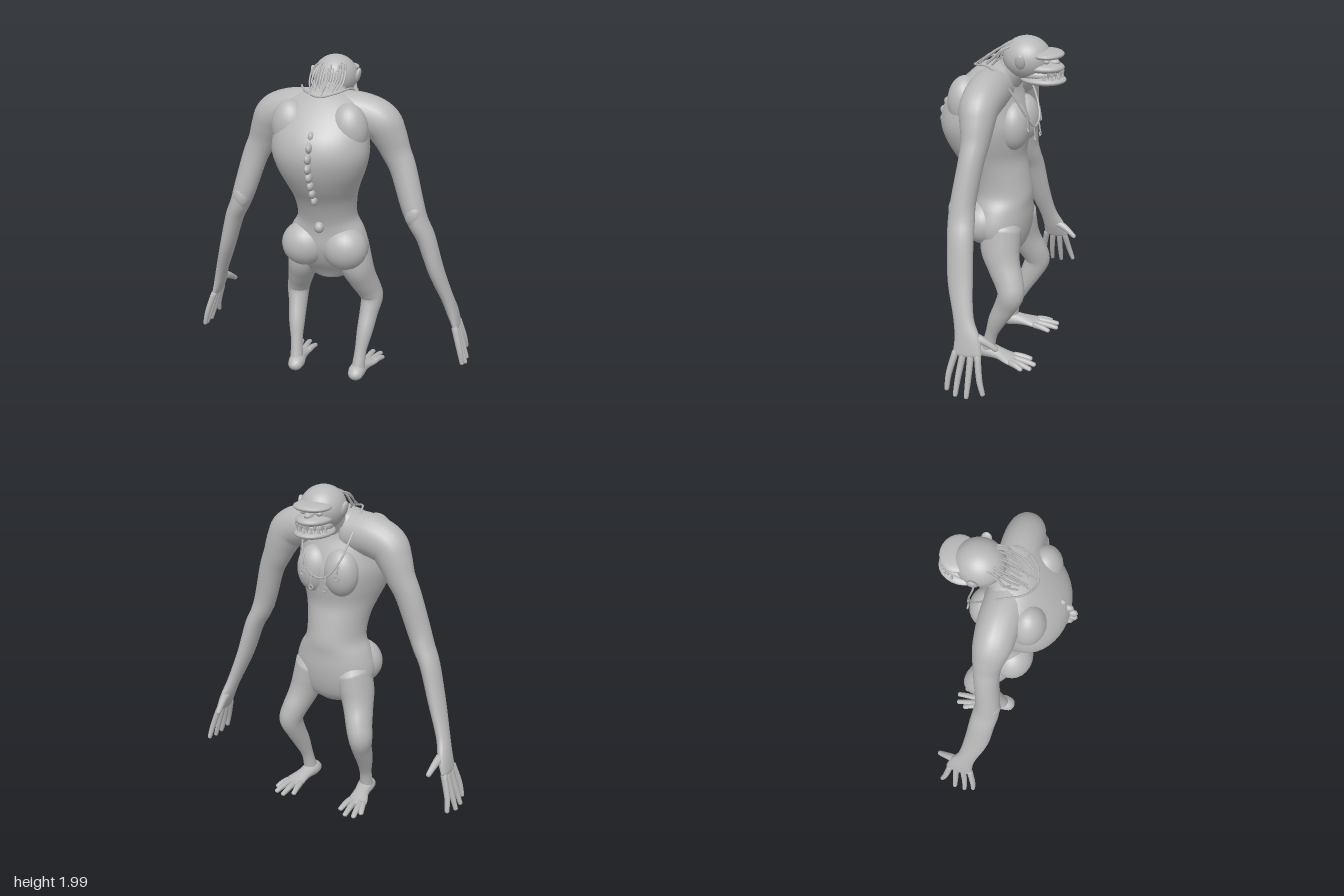
import * as THREE from 'three';

const skin = new THREE.MeshStandardMaterial({ color: 0xb8b8b8 });
skin.name = 'greySkin';

// Catmull-Rom through rows of numbers, `n` steps per span
function smoothRows(rows, n) {
  const out = [], at = i => rows[Math.min(Math.max(i, 0), rows.length - 1)];
  for (let i = 0; i < rows.length - 1; i++) {
    for (let k = 0; k < n; k++) {
      const t = k / n;
      out.push(rows[i].map((b, j) => {
        const a = at(i - 1)[j], c = at(i + 1)[j], d = at(i + 2)[j];
        return 0.5 * (2 * b + (c - a) * t + (2 * a - 5 * b + 4 * c - d) * t * t + (3 * b - a - 3 * c + d) * t ** 3);
      }));
    }
  }
  out.push(rows[rows.length - 1]);
  return out;
}

// Joins cross-sections into one closed smooth surface
function loft(rings) {
  const seg = rings[0].length, pos = [], idx = [];
  rings.forEach(r => r.forEach(p => pos.push(p.x, p.y, p.z)));
  for (let i = 0; i < rings.length - 1; i++) {
    for (let j = 0; j < seg; j++) {
      const a = i * seg + j, b = i * seg + (j + 1) % seg;
      idx.push(a, b, b + seg, a, b + seg, a + seg);
    }
  }
  const last = (rings.length - 1) * seg;
  [[0, rings[0]], [last, rings[rings.length - 1]]].forEach(([start, ring], end) => {
    const c = ring.reduce((s, p) => s.add(p), new THREE.Vector3()).divideScalar(seg);
    const ci = pos.length / 3;
    pos.push(c.x, c.y, c.z);
    for (let j = 0; j < seg; j++) {
      const a = start + j, b = start + (j + 1) % seg;
      if (end) idx.push(ci, a, b); else idx.push(ci, b, a);
    }
  });
  const g = new THREE.BufferGeometry();
  g.setAttribute('position', new THREE.Float32BufferAttribute(pos, 3));
  g.setIndex(idx);
  g.computeVertexNormals();
  return g;
}

// Limb through rows [x, y, z, radius, radius along ref], with rounded ends
function limb(rows, ref = [0, 0, 1], seg = 16, steps = 5) {
  const path = smoothRows(rows, steps);
  const centre = path.map(r => new THREE.Vector3(r[0], r[1], r[2]));
  const dir = i => centre[Math.min(i + 1, centre.length - 1)].clone().sub(centre[Math.max(i - 1, 0)]).normalize();
  const ring = (i, push, scale) => {
    const T = dir(i), B = new THREE.Vector3(...ref);
    B.addScaledVector(T, -B.dot(T)).normalize();
    const N = B.clone().cross(T), [, , , ra, rb] = path[i];
    const c = centre[i].clone().addScaledVector(T, push * Math.min(ra, rb));
    return Array.from({ length: seg }, (_, j) => {
      const a = j / seg * Math.PI * 2;
      return c.clone().addScaledVector(N, ra * scale * Math.cos(a)).addScaledVector(B, rb * scale * Math.sin(a));
    });
  };
  const e = path.length - 1;
  return loft([ring(0, -0.7, 0.3), ring(0, -0.45, 0.75), ...path.map((_, i) => ring(i, 0, 1)),
    ring(e, 0.45, 0.75), ring(e, 0.7, 0.3)]);
}

export function createModel() {
  const root = new THREE.Group();
  root.name = 'hunchedCreature';
  const add = (name, geo) => {
    const m = new THREE.Mesh(geo, skin);
    m.name = name;
    root.add(m);
    return m;
  };
  const blob = (name, p, r, seg = 24) => {
    const m = add(name, new THREE.SphereGeometry(1, seg, Math.round(seg * 0.7)));
    m.position.set(...p);
    m.scale.set(...r);
    return m;
  };
  const cord = (name, pts, r, closed = false) => add(name, new THREE.TubeGeometry(
    new THREE.CatmullRomCurve3(pts.map(p => new THREE.Vector3(...p)), closed), closed ? 80 : 10, r, 5, closed));

  // Torso rows: height, half width, back z, front z, z of the widest point
  const torso = [
    [0.67, 0.08, 0.0, -0.1, -0.05], [0.72, 0.18, 0.03, -0.15, -0.05], [0.8, 0.232, 0.09, -0.18, -0.04],
    [0.9, 0.25, 0.13, -0.195, -0.02], [1.0, 0.22, 0.135, -0.195, -0.02], [1.08, 0.178, 0.15, -0.198, -0.01],
    [1.2, 0.185, 0.2, -0.175, 0.02], [1.3, 0.215, 0.265, -0.155, 0.07], [1.4, 0.255, 0.315, -0.17, 0.11],
    [1.5, 0.28, 0.335, -0.18, 0.13], [1.6, 0.275, 0.31, -0.15, 0.12], [1.7, 0.26, 0.24, -0.11, 0.08],
    [1.78, 0.21, 0.165, -0.1, 0.04], [1.83, 0.11, 0.1, -0.08, 0.01], [1.845, 0.03, 0.03, -0.04, 0]];
  add('torso', loft(smoothRows(torso, 4).map(([y, w, zb, zf, zm]) => Array.from({ length: 40 }, (_, j) => {
    const a = j / 40 * Math.PI * 2, s = Math.sin(a);
    return new THREE.Vector3(-w * Math.cos(a), y, zm + s * (s > 0 ? zb - zm : zm - zf));
  }))));

  // Spine ridge
  for (let i = 0; i < 9; i++) {
    const y = 1.68 - i * 0.055;
    const z = 0.345 - 2.0 * Math.max(0, y - 1.5) ** 1.6 - 0.75 * Math.max(0, 1.46 - y) ** 1.25;
    blob('spineKnob', [0, y, z], [0.02, 0.03, 0.035], 8);
  }
  blob('lowerSpineKnob', [0, 1.05, 0.15], [0.03, 0.035, 0.035], 10);

  // Neck and head
  add('neck', limb([[0, 1.72, 0.0, 0.1, 0.1], [0, 1.79, -0.07, 0.09, 0.085], [0, 1.86, -0.14, 0.09, 0.085]]));
  blob('skull', [0, 1.88, -0.16], [0.127, 0.12, 0.135], 32);
  blob('brow', [0, 1.91, -0.275], [0.108, 0.026, 0.095]);
  blob('upperJaw', [0, 1.838, -0.25], [0.098, 0.034, 0.125]);
  blob('mouthInside', [0, 1.8, -0.22], [0.088, 0.045, 0.11]);
  blob('lowerJaw', [0, 1.768, -0.255], [0.108, 0.03, 0.132]);
  blob('nose', [0, 1.868, -0.31], [0.025, 0.02, 0.04], 12);
  for (let i = 0; i < 13; i++) {
    const a = (i / 12 - 0.5) * 2.5;
    const tooth = add('tooth', new THREE.ConeGeometry(0.009, 0.04, 6));
    tooth.position.set(0.092 * Math.sin(a), 1.802, -0.255 - 0.11 * Math.cos(a));
    if (i % 2) tooth.rotation.x = Math.PI;
  }

  // Hair strands swept from the crown down onto the back
  for (let i = 0; i < 14; i++) {
    const u = i / 13 * 2 - 1, w = Math.sin(i * 4.7);
    cord('hairStrand', [[u * 0.06, 1.985 - 0.02 * u * u, -0.14], [u * 0.095, 1.94 + 0.01 * w, -0.05],
      [u * 0.1 + 0.01 * w, 1.88 + 0.015 * w, 0.01 + 0.02 * w], [u * 0.08, 1.835, 0.06 + 0.04 * w]], 0.0055);
  }
  for (const x of [-0.06, 0.01]) cord('longStrand', [[x, 1.96, -0.09], [x, 1.9, 0.03], [x, 1.82, 0.14]], 0.004);

  // Necklace with pendants
  cord('necklace', [[0, 1.815, 0.145], [0.09, 1.835, 0.11], [0.15, 1.842, 0.0], [0.15, 1.72, -0.12],
    [0.12, 1.6, -0.185], [0.06, 1.51, -0.217], [0, 1.485, -0.215], [-0.06, 1.51, -0.217],
    [-0.12, 1.6, -0.185], [-0.15, 1.72, -0.12], [-0.15, 1.842, 0.0], [-0.09, 1.835, 0.11]], 0.006, true);
  for (const [x, y, z] of [[-0.11, 1.57, -0.2], [-0.045, 1.5, -0.22], [0.045, 1.5, -0.22], [0.11, 1.57, -0.2]]) {
    cord('pendantCord', [[x, y, z], [x, y - 0.03, z - 0.006], [x, y - 0.06, z - 0.01]], 0.005);
    const ring = add('pendantRing', new THREE.TorusGeometry(0.013, 0.004, 5, 12));
    ring.position.set(x, y - 0.073, z - 0.01);
  }

  // Paired parts, mirrored across x
  for (const s of [1, -1]) {
    const side = s > 0 ? 'left' : 'right';
    const limbAt = (name, rows, ref, seg, steps) =>
      add(side + name, limb(rows.map(([x, ...r]) => [s * x, ...r]), ref, seg, steps));

    blob(side + 'Ear', [s * 0.132, 1.885, -0.165], [0.016, 0.045, 0.03], 12).rotation.z = -s * 0.25;
    blob(side + 'Eye', [s * 0.048, 1.878, -0.288], [0.018, 0.014, 0.018], 12);
    blob(side + 'Breast', [s * 0.085, 1.5, -0.115], [0.105, 0.14, 0.09]);
    blob(side + 'Buttock', [s * 0.125, 0.9, 0.05], [0.138, 0.135, 0.122]);
    blob(side + 'ShoulderBlade', [s * 0.17, 1.64, 0.14], [0.11, 0.15, 0.1]);

    // Arm from the shoulder to the palm
    limbAt('Arm', [[0.08, 1.71, 0.01, 0.125, 0.12], [0.21, 1.705, 0.0, 0.12, 0.115], [0.315, 1.665, -0.002, 0.115, 0.108],
      [0.365, 1.59, -0.01, 0.1, 0.095], [0.405, 1.5, -0.015, 0.085, 0.078], [0.452, 1.4, -0.008, 0.076, 0.07],
      [0.515, 1.2, 0.012, 0.068, 0.07], [0.552, 1.1, 0.01, 0.06, 0.075], [0.6, 1.0, -0.003, 0.054, 0.074],
      [0.662, 0.8, -0.025, 0.046, 0.072], [0.73, 0.61, -0.07, 0.036, 0.058], [0.765, 0.5, -0.105, 0.032, 0.075],
      [0.79, 0.42, -0.115, 0.022, 0.085]], [0, 0, 1], 20);
    blob(side + 'Elbow', [s * 0.53, 1.15, 0.05], [0.05, 0.07, 0.04], 14);
    // Fingers: knuckle z, middle, tip
    [[-0.045, 0.3, -0.02, 0.85, 0.21, -0.015], [-0.09, 0.29, -0.075, 0.862, 0.19, -0.07],
      [-0.135, 0.29, -0.135, 0.86, 0.19, -0.135], [-0.175, 0.3, -0.2, 0.842, 0.22, -0.225]]
      .forEach(([kz, my, mz, x, y, z]) => limbAt('Finger', [[0.79, 0.42, kz, 0.02, 0.02],
        [0.828, my, mz, 0.018, 0.018], [x, y, z, 0.014, 0.014]], [0, 0, 1], 8, 4));
    limbAt('Thumb', [[0.76, 0.53, -0.1, 0.03, 0.03], [0.745, 0.5, -0.185, 0.023, 0.023],
      [0.73, 0.45, -0.26, 0.015, 0.015]], [1, 0, 0], 8, 4);

    // Leg from the hip to the ankle
    limbAt('Leg', [[0.13, 0.88, -0.06, 0.11, 0.12], [0.165, 0.76, -0.065, 0.1, 0.12], [0.195, 0.66, -0.1, 0.085, 0.1],
      [0.225, 0.57, -0.145, 0.075, 0.088], [0.243, 0.5, -0.16, 0.07, 0.08], [0.235, 0.41, -0.125, 0.058, 0.068],
      [0.225, 0.3, -0.07, 0.05, 0.055], [0.212, 0.18, -0.025, 0.037, 0.038], [0.205, 0.07, 0.0, 0.042, 0.045]], [0, 0, 1], 18);
    limbAt('Foot', [[0.2, 0.047, 0.055, 0.038, 0.045], [0.2, 0.056, 0.01, 0.048, 0.052],
      [0.21, 0.052, -0.07, 0.034, 0.047], [0.225, 0.042, -0.15, 0.023, 0.062], [0.23, 0.037, -0.185, 0.02, 0.062]], [1, 0, 0]);
    [[0.182, 0.168, -0.27], [0.215, 0.222, -0.31], [0.25, 0.275, -0.3], [0.27, 0.3, -0.25]]
      .forEach(([x0, x, z]) => limbAt('Toe', [[x0, 0.042, -0.17, 0.02, 0.02],
        [(x0 + x) / 2, 0.04, (z - 0.17) / 2, 0.017, 0.019], [x, 0.03, z, 0.013, 0.016]], [1, 0, 0], 8, 4));
  }
  return root;
}
